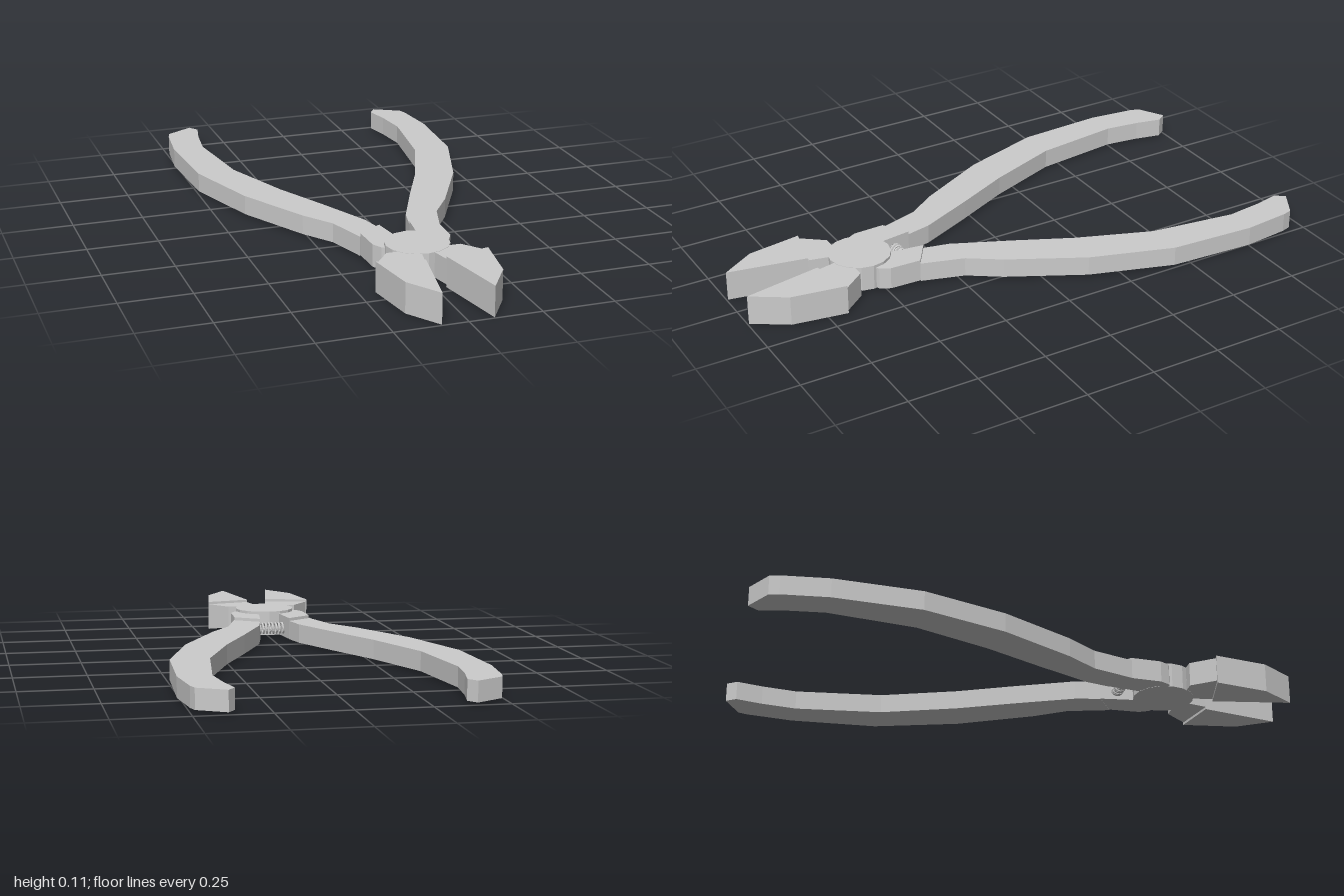
import * as THREE from 'three';

const material = new THREE.MeshStandardMaterial({ color: 0xcccccc, flatShading: true });

// Flat plate: outline in (x, z), from height y0 up to y1; side -1 mirrors it.
function plate(name, outline, y0, y1, side = 1) {
  const shape = new THREE.Shape(outline.map(([x, z]) => new THREE.Vector2(x * side, z)));
  const geometry = new THREE.ExtrudeGeometry(shape, { depth: y1 - y0, bevelEnabled: false });
  geometry.rotateX(Math.PI / 2).translate(0, y1, 0);
  const mesh = new THREE.Mesh(geometry, material);
  mesh.name = name;
  return mesh;
}

// Outlines of the left half
const handle = [
  [0.055, 0.32], [0.075, 0.23], [0.165, 0.03], [0.26, -0.17], [0.36, -0.435],
  [0.4, -0.745], [0.385, -0.87], [0.365, -0.965], [0.39, -1], [0.485, -0.945],
  [0.495, -0.91], [0.513, -0.745], [0.495, -0.435], [0.4, -0.14], [0.265, 0.12],
  [0.19, 0.23], [0.145, 0.38],
];
const collar = [
  [0.055, 0.32], [0.142, 0.378], [0.138, 0.49], [0.12, 0.525],
  [0.06, 0.55], [0.03, 0.5], [0.04, 0.43],
];
const jawBase = [
  [0.015, 0.56], [0.09, 0.6], [0.13, 0.6], [0.192, 0.68], [0.037, 0.715], [0.022, 0.645],
];
const blade = [[0.036, 0.715], [0.195, 0.68], [0.165, 0.875], [0.088, 0.995]];

// Coiled return spring between the two collars
class Coil extends THREE.Curve {
  getPoint(t, target = new THREE.Vector3()) {
    const a = t * Math.PI * 2 * 8;
    return target.set(-0.05 + 0.1 * t, 0.045 + 0.019 * Math.cos(a), 0.38 + 0.019 * Math.sin(a));
  }
}

export function createModel() {
  const model = new THREE.Group();
  model.name = 'pliers';

  for (const side of [1, -1]) {
    const half = new THREE.Group();
    half.name = side > 0 ? 'leftHalf' : 'rightHalf';
    half.add(
      plate('handle', handle, 0.01, 0.079, side),
      plate('collar', collar, 0.011, 0.09, side),
      plate('jawBase', jawBase, 0.011, 0.099, side),
      plate('blade', blade, 0.002, 0.108, side),
    );
    model.add(half);
  }

  // Pivot joint
  const pivot = new THREE.Mesh(new THREE.CylinderGeometry(0.11, 0.11, 0.09, 16), material);
  pivot.name = 'pivot';
  pivot.position.set(0, 0.055, 0.54);
  model.add(pivot);

  const spring = new THREE.Mesh(new THREE.TubeGeometry(new Coil(), 128, 0.004, 5), material);
  spring.name = 'spring';
  model.add(spring);

  return model;
}
